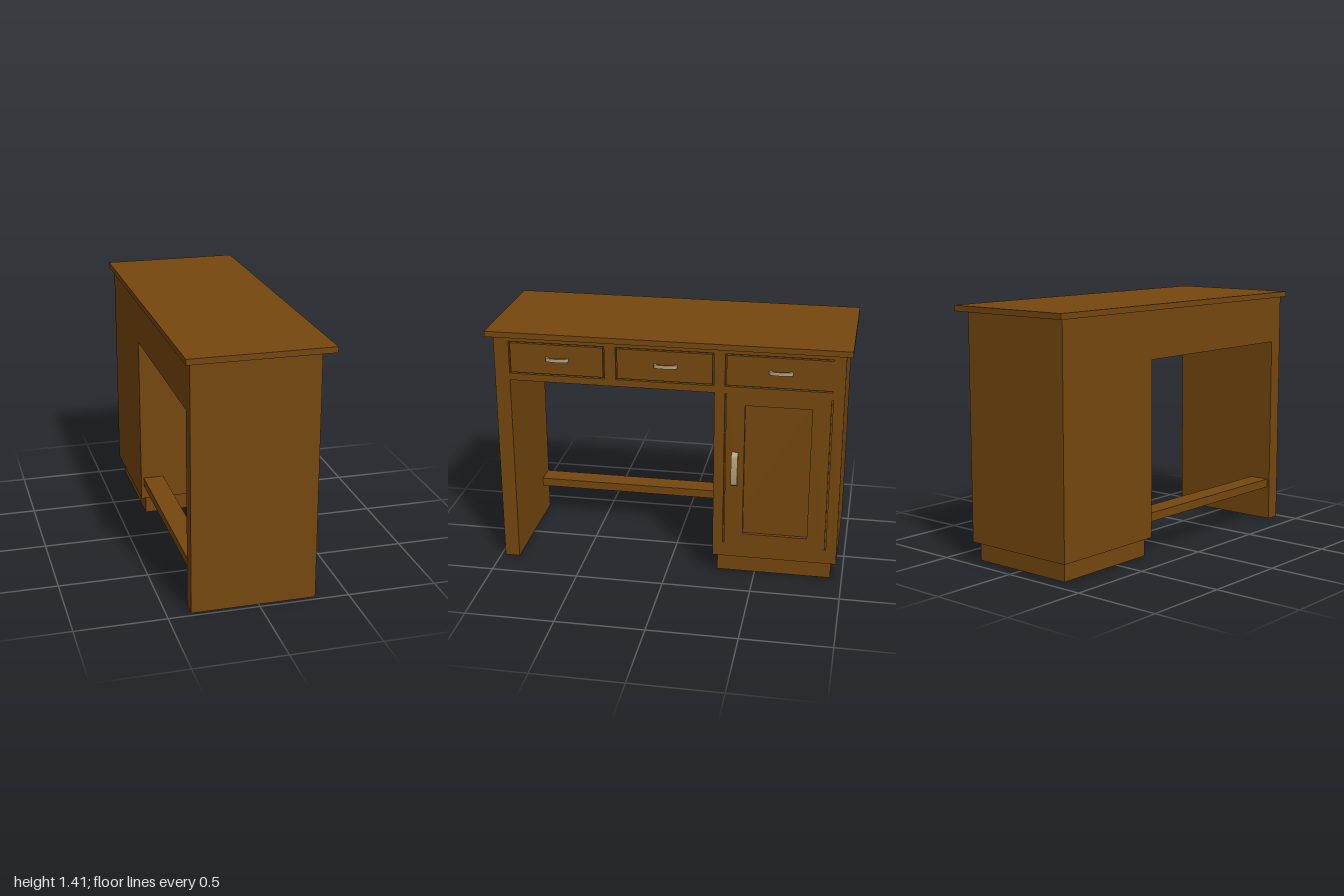
import * as THREE from 'three';

const wood = new THREE.MeshStandardMaterial({ color: 0x75470e });
wood.name = 'brown wood';
const metal = new THREE.MeshStandardMaterial({ color: 0xb8a27c });
metal.name = 'pale brass';

const BACK = -0.37, FRONT = 0.318, SKIN = 0.02, GAP = 0.008;

export function createModel() {
  const desk = new THREE.Group();
  desk.name = 'desk';

  const add = (name, geometry, material = wood) => {
    const mesh = new THREE.Mesh(geometry, material);
    mesh.name = name;
    desk.add(mesh);
    return mesh;
  };
  const box = (name, x0, x1, y0, y1, z0, z1) =>
    add(name, new THREE.BoxGeometry(x1 - x0, y1 - y0, z1 - z0))
      .position.set((x0 + x1) / 2, (y0 + y1) / 2, (z0 + z1) / 2);
  const rectHole = (z0, z1, y0, y1) => new THREE.Path([
    [-z1, y0], [-z1, y1], [-z0, y1], [-z0, y0],
  ].map(([u, v]) => new THREE.Vector2(u, v)));

  // Top and carcass
  const inner = FRONT - SKIN;
  box('deskTop', -0.395, 0.39, 1.38, 1.412, -1, 1);
  box('sidePanel', BACK, inner, 0, 1.38, 0.89, 0.975);
  box('drawerCase', BACK, inner, 1.11, 1.38, -0.26, 0.89);
  box('cabinet', BACK, inner, 0.115, 1.38, -0.965, -0.26);
  box('plinth', -0.34, 0.288, 0.01, 0.115, -0.935, -0.285);
  box('footRail', -0.355, -0.235, 0.2, 0.25, -0.26, 0.89);

  // Front facing, drawn with u = -z, cut by drawer gaps, door slots and door panel
  const face = new THREE.Shape([
    [-0.975, 0], [-0.89, 0], [-0.89, 1.11], [0.26, 1.11],
    [0.26, 0.115], [0.965, 0.115], [0.965, 1.38], [-0.975, 1.38],
  ].map(([u, v]) => new THREE.Vector2(u, v)));
  const drawers = [[0.35, 0.89], [-0.257, 0.287], [-0.9, -0.318]];
  for (const [z0, z1] of drawers) face.holes.push(rectHole(z0, z1, 1.15, 1.337));
  for (const z of [-0.326, -0.904]) face.holes.push(rectHole(z, z + GAP, 0.2, 1.108));
  face.holes.push(rectHole(-0.795, -0.43, 0.263, 1.045));
  const facing = new THREE.ExtrudeGeometry(face, { depth: SKIN, bevelEnabled: false });
  facing.rotateY(Math.PI / 2).translate(inner, 0, 0);
  add('frontFacing', facing);

  // Drawer fronts set in their openings
  drawers.forEach(([z0, z1], i) => {
    const right = i === 2 ? z0 : z0 + GAP;
    box('drawerFront' + (i + 1), inner, FRONT, 1.15 + GAP, 1.337 - GAP, right, z1 - GAP);
  });

  // Bowed pull: arch profile (v along the pull, u outward) given a width
  const pull = (name, length, reach, width, y, z, horizontal) => {
    const h = length / 2;
    const s = new THREE.Shape();
    s.moveTo(0, -h);
    s.quadraticCurveTo(reach * 0.75, -h, reach * 0.85, -h * 0.72);
    s.quadraticCurveTo(reach * 1.15, 0, reach * 0.85, h * 0.72);
    s.quadraticCurveTo(reach * 0.75, h, 0, h);
    s.lineTo(0, h * 0.74);
    s.quadraticCurveTo(reach * 0.55, h * 0.76, reach * 0.65, h * 0.55);
    s.quadraticCurveTo(reach * 0.95, 0, reach * 0.65, -h * 0.55);
    s.quadraticCurveTo(reach * 0.55, -h * 0.76, 0, -h * 0.74);
    s.closePath();
    const g = new THREE.ExtrudeGeometry(s, { depth: width, bevelEnabled: false, curveSegments: 6 });
    g.translate(0, 0, -width / 2);
    if (horizontal) g.rotateX(Math.PI / 2);
    add(name, g, metal).position.set(FRONT, y, z);
  };
  [0.615, 0.01, -0.62].forEach((z, i) =>
    pull('drawerHandle' + (i + 1), 0.13, 0.026, 0.02, 1.247, z, true));
  pull('doorHandle', 0.2, 0.035, 0.036, 0.665, -0.38, false);

  return desk;
}
